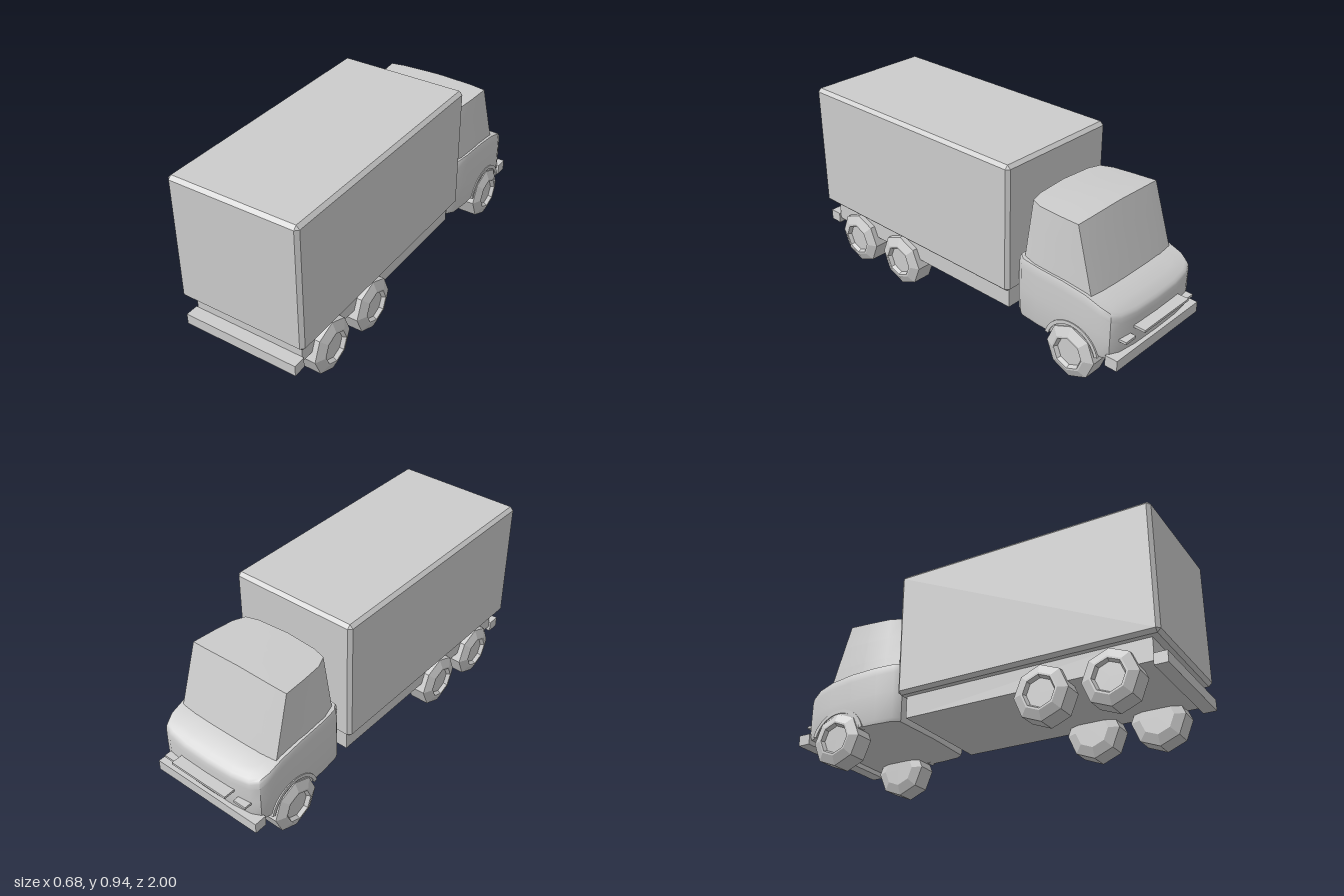
import * as THREE from 'three';
import { toCreasedNormals } from 'three/addons/utils/BufferGeometryUtils.js';
import { ConvexGeometry } from 'three/addons/geometries/ConvexGeometry.js';

const smooth = new THREE.MeshStandardMaterial({ color: 0xcccccc });
const flat = new THREE.MeshStandardMaterial({ color: 0xcccccc, flatShading: true });

function add(parent, name, geometry, material = flat) {
  const mesh = new THREE.Mesh(geometry, material);
  mesh.name = name;
  parent.add(mesh);
  return mesh;
}

// Box given by its two extreme corners
function box(parent, name, [x0, y0, z0], [x1, y1, z1]) {
  const mesh = add(parent, name, new THREE.BoxGeometry(x1 - x0, y1 - y0, z1 - z0));
  mesh.position.set((x0 + x1) / 2, (y0 + y1) / 2, (z0 + z1) / 2);
}

// Box with all edges chamfered by c
function chamferedBox(w, h, d, c) {
  const points = [];
  for (const x of [-1, 1]) for (const y of [-1, 1]) for (const z of [-1, 1]) {
    for (let axis = 0; axis < 3; axis++) {
      const inset = [0, 1, 2].map((k) => (k === axis ? 0 : c));
      points.push(new THREE.Vector3(x * (w / 2 - inset[0]), y * (h / 2 - inset[1]), z * (d / 2 - inset[2])));
    }
  }
  return new ConvexGeometry(points);
}

// Completes a half outline of [x, z] points, listed front to rear, by mirroring
function mirrored(half) {
  return [...half, ...half.slice(1, -1).reverse().map(([x, z]) => [-x, z])];
}

// Skin over closed rings of [x, y, z] points, ordered from bottom to top
function loft(rings, crease) {
  const n = rings[0].length, index = [];
  for (let j = 0; j < rings.length - 1; j++) {
    for (let i = 0; i < n; i++) {
      const k = (i + 1) % n;
      const a = j * n + i, b = j * n + k, c = b + n, d = a + n;
      index.push(a, d, b, b, d, c);
    }
  }
  const g = new THREE.BufferGeometry();
  g.setAttribute('position', new THREE.Float32BufferAttribute(rings.flat(2), 3));
  g.setIndex(index);
  return toCreasedNormals(g, crease);
}

// Straight-line interpolation through [position, value] pairs
function profile(pairs, p) {
  for (let i = 1; i < pairs.length; i++) {
    const [p0, v0] = pairs[i - 1], [p1, v1] = pairs[i];
    if (p <= p1) return v0 + (v1 - v0) * Math.max(0, (p - p0) / (p1 - p0));
  }
  return pairs[pairs.length - 1][1];
}

// Rounded lower cab whose top follows the bonnet line
function cabBody() {
  const outline = mirrored([
    [0, -0.945], [0.15, -0.942], [0.25, -0.93], [0.295, -0.908], [0.312, -0.86], [0.315, -0.78],
    [0.316, -0.65], [0.313, -0.5], [0.302, -0.4], [0.275, -0.364], [0, -0.355],
  ]);
  const bonnet = [[-0.945, 0.37], [-0.93, 0.385], [-0.9, 0.41], [-0.86, 0.43], [-0.79, 0.455],
    [-0.7, 0.47], [-0.6, 0.477], [-0.36, 0.48]];
  const ring = (s, height) => outline.map(([x, z]) => {
    const zz = -0.65 + (z + 0.65) * s;
    return [x * s, 0.175 + (profile(bonnet, zz) - 0.175) * height, zz];
  });
  const walls = [[0, 0], [0.985, 0], [1, 0.06], [1, 0.5], [0.998, 0.85], [0.99, 0.96]];
  const top = [0.975, 0.94, 0.88, 0.8, 0.6, 0.3, 0].map((s) => [s, 1]);
  return loft([...walls, ...top].map(([s, h]) => ring(s, h)), 0.75);
}

// Upper cab tapering from the beltline to a crowned roof
function cabTop() {
  const base = mirrored([[0, -0.812], [0.2, -0.812], [0.292, -0.803], [0.3, -0.6], [0.297, -0.47],
    [0.275, -0.39], [0.2, -0.368], [0, -0.36]]);
  const roof = mirrored([[0, -0.706], [0.2, -0.705], [0.28, -0.7], [0.273, -0.58], [0.262, -0.47],
    [0.236, -0.41], [0.17, -0.393], [0, -0.385]]);
  const roofY = (x, z) => 0.767 - 0.15 * x * x - 0.03 * (z + 0.38);
  const rings = [0, 0.33, 0.67, 1].map((t) => base.map(([x, z], i) => {
    const [rx, rz] = roof[i];
    return [x + (rx - x) * t, 0.42 + (roofY(rx, rz) - 0.42) * t, z + (rz - z) * t];
  }));
  for (const s of [0.75, 0.4, 0]) {
    rings.push(roof.map(([x, z]) => {
      const zz = -0.55 + (z + 0.55) * s;
      return [x * s, roofY(x * s, zz), zz];
    }));
  }
  return loft(rings, 0.6);
}

// Eight-sided wheel, hub facing +x
function wheelGeometry() {
  const points = [[0, -0.071], [0.085, -0.071], [0.135, -0.05], [0.135, 0.05], [0.09, 0.071],
    [0.08, 0.071], [0.07, 0.052], [0, 0.052]].map(([r, y]) => new THREE.Vector2(r, y));
  return new THREE.LatheGeometry(points, 8).rotateZ(-Math.PI / 2);
}

// Half ring over the front wheel, extruded along x
function archGeometry() {
  const start = 0.26;
  const shape = new THREE.Shape();
  shape.absarc(0, 0, 0.155, start, Math.PI - start, false);
  shape.absarc(0, 0, 0.137, Math.PI - start, start, true);
  shape.closePath();
  return new THREE.ExtrudeGeometry(shape, { depth: 0.04, bevelEnabled: false, curveSegments: 14 })
    .translate(0, 0, -0.02).rotateY(Math.PI / 2);
}

export function createModel() {
  const truck = new THREE.Group();
  truck.name = 'boxTruck';

  // Cargo box on its chassis
  add(truck, 'cargoBox', chamferedBox(0.68, 0.65, 1.336, 0.017)).position.set(0, 0.61, 0.317);
  box(truck, 'chassis', [-0.295, 0.175, -0.32], [0.295, 0.29, 0.935]);
  box(truck, 'rearBumper', [-0.305, 0.15, 0.935], [0.305, 0.205, 1]);

  // Cab
  const cab = new THREE.Group();
  cab.name = 'cab';
  truck.add(cab);
  add(cab, 'cabBody', cabBody(), smooth);
  add(cab, 'cabTop', cabTop(), smooth);
  box(cab, 'frontBumper', [-0.31, 0.15, -0.965], [0.31, 0.205, -0.9]);
  box(cab, 'grilleBar', [-0.167, 0.298, -1], [0.167, 0.31, -0.93]);

  // Paired parts and wheels
  const wheel = wheelGeometry(), arch = archGeometry();
  for (const side of [-1, 1]) {
    const label = side > 0 ? 'left' : 'right';
    box(cab, label + 'FrontLight', [side * 0.22 - 0.035, 0.263, -0.967], [side * 0.22 + 0.035, 0.276, -0.9]);
    add(cab, label + 'WheelArch', arch).position.set(side * 0.3, 0.135, -0.715);
    [-0.715, 0.415, 0.745].forEach((z, i) => {
      const mesh = add(truck, label + ['Front', 'Middle', 'Rear'][i] + 'Wheel', wheel);
      mesh.position.set(side * 0.271, 0.135, z);
      if (side < 0) mesh.rotation.y = Math.PI;
    });
  }
  return truck;
}
